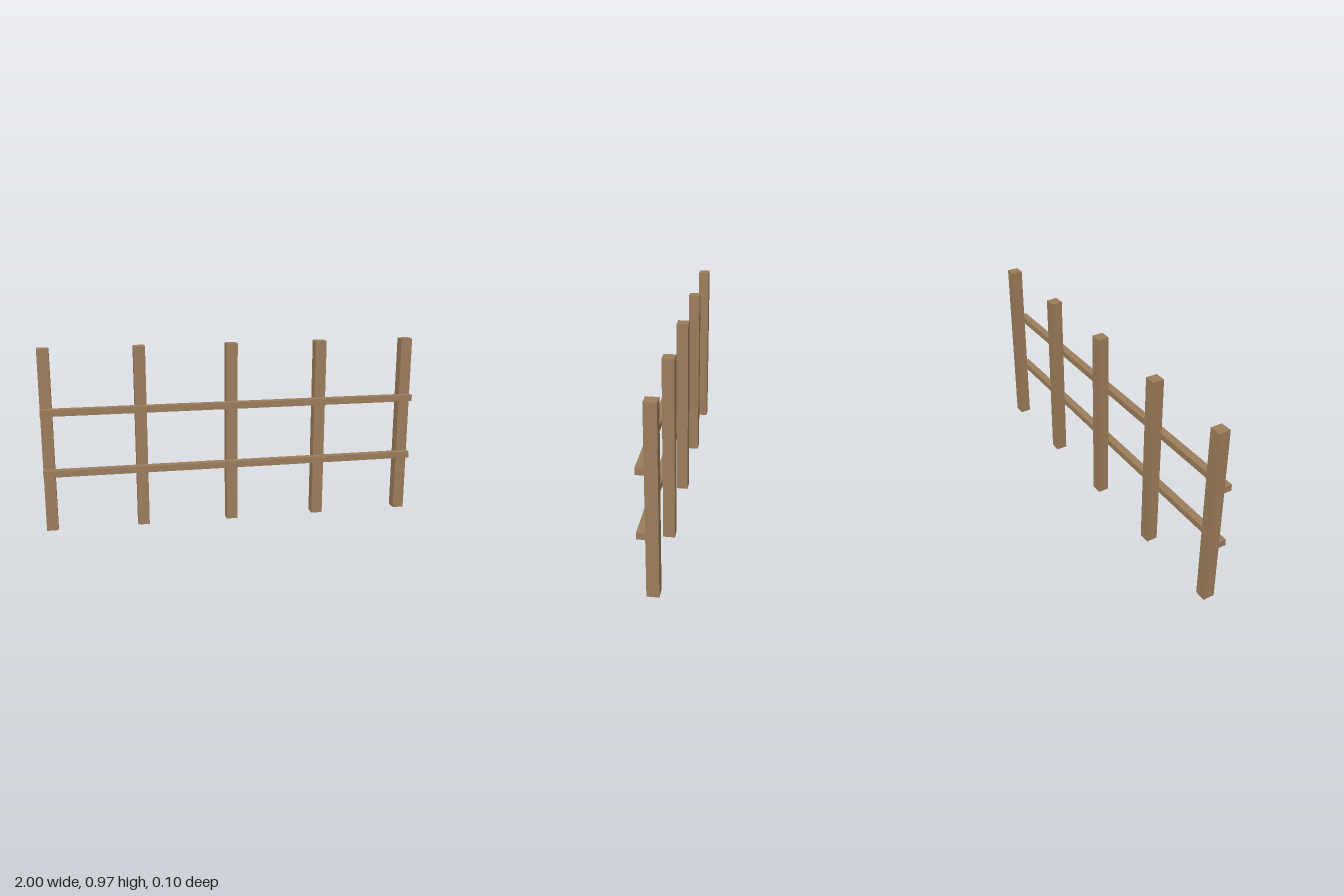
import * as THREE from 'three';

const POST = { size: 0.06, height: 0.97, z: -0.02, count: 5 };
const RAIL = { length: 2, height: 0.034, depth: 0.04, z: 0.03, levels: [0.323, 0.647] };

export function createModel() {
  const fence = new THREE.Group();
  fence.name = 'fence';
  const wood = new THREE.MeshStandardMaterial({ color: 0x9c7d5b });
  wood.name = 'brown wood';

  function addBeam(name, geometry, x, y, z) {
    const mesh = new THREE.Mesh(geometry, wood);
    mesh.name = name;
    mesh.position.set(x, y, z);
    fence.add(mesh);
  }

  // Evenly spaced square posts, the outer ones flush with the rail ends
  const postGeometry = new THREE.BoxGeometry(POST.size, POST.height, POST.size);
  const span = RAIL.length - POST.size;
  for (let i = 0; i < POST.count; i++) {
    const x = (i / (POST.count - 1) - 0.5) * span;
    addBeam(`post${i + 1}`, postGeometry, x, POST.height / 2, POST.z);
  }

  // Two rails fixed to the front of the posts
  const railGeometry = new THREE.BoxGeometry(RAIL.length, RAIL.height, RAIL.depth);
  addBeam('lowerRail', railGeometry, 0, RAIL.levels[0], RAIL.z);
  addBeam('upperRail', railGeometry, 0, RAIL.levels[1], RAIL.z);

  return fence;
}
